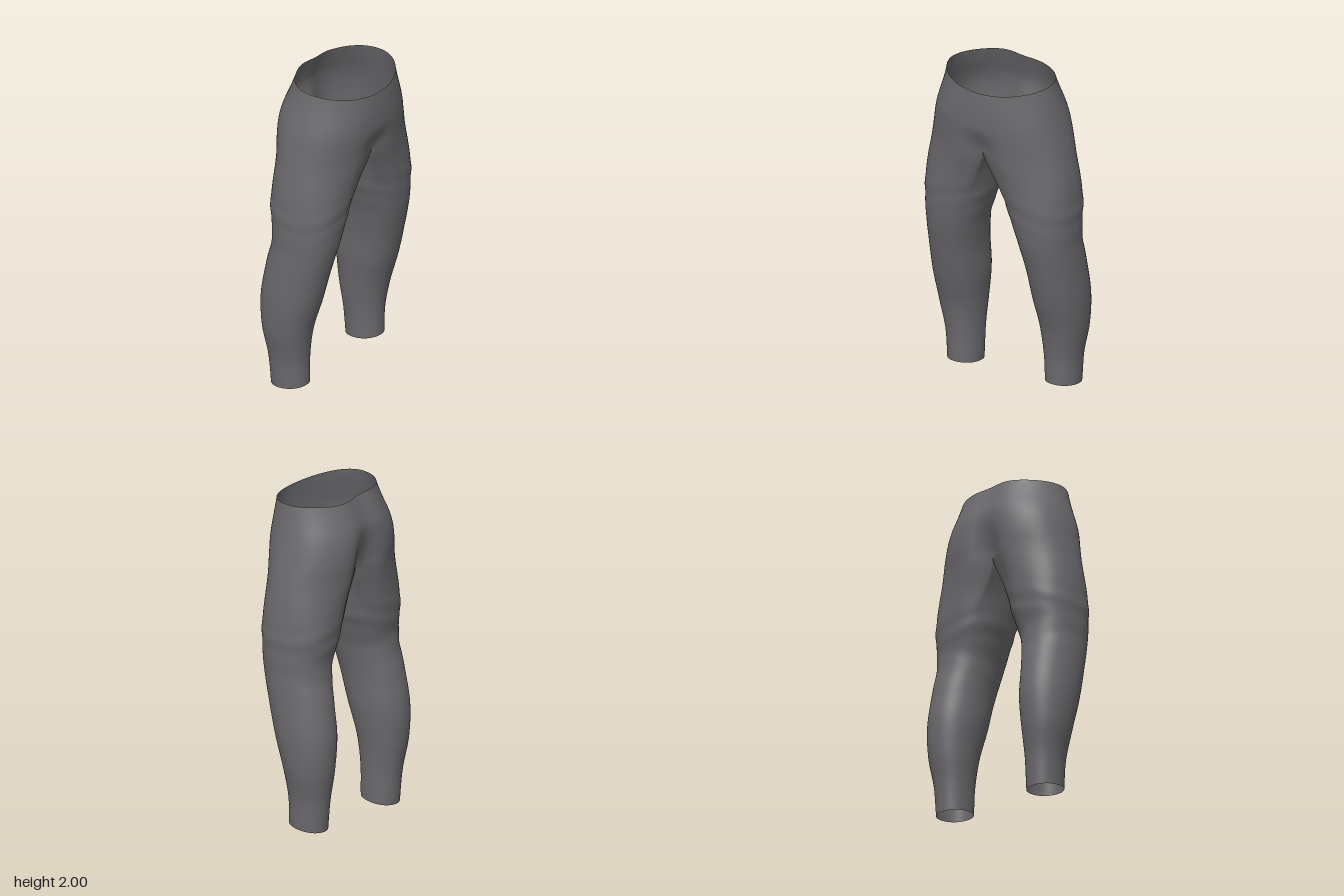
import * as THREE from 'three';
import { mergeVertices } from 'three/addons/utils/BufferGeometryUtils.js';

// Outline by height: y, inner x, outer x, back z, front z
const OUTLINE = [
  [0.0, 0.236, 0.437, -0.225, 0.008],
  [0.2, 0.228, 0.448, -0.24, 0.012],
  [0.4, 0.208, 0.482, -0.27, 0.042],
  [0.6, 0.183, 0.497, -0.277, 0.1],
  [0.8, 0.169, 0.493, -0.246, 0.15],
  [1.0, 0.134, 0.486, -0.207, 0.194],
  [1.2, 0.072, 0.485, -0.23, 0.218],
  [1.4, 0.032, 0.465, -0.255, 0.243],
  [1.48, 0.014, 0.45, -0.268, 0.256],
  [1.56, 0.0, 0.434, -0.28, 0.266],
  [1.65, 0.0, 0.413, -0.29, 0.276],
  [1.8, 0.0, 0.378, -0.282, 0.285],
  [1.9, 0.0, 0.354, -0.255, 0.283],
  [2.0, 0.0, 0.332, -0.222, 0.275],
];
const CROTCH = 1.56, OUTER = 40, INNER = 16, HIP_ROWS = 20, LEG_ROWS = 72;
const INNER_ANGLE = THREE.MathUtils.degToRad(126);
const { lerp, smoothstep } = THREE.MathUtils;

const spline = new THREE.CubicInterpolant(
  new Float32Array(OUTLINE.map((r) => r[0])),
  new Float32Array(OUTLINE.flatMap((r) => r.slice(1))),
  4,
);
const bump = (v, centre, width) => Math.exp(-Math.pow((v - centre) / width, 2));
const rounded = (v, power) => Math.sign(v) * Math.pow(Math.abs(v), power);

function section(y) {
  const [xin, xout, back, front] = spline.evaluate(y);
  return { xin: y >= CROTCH ? 0 : xin, xout, back, front };
}

// Slight difference between the two sides at the hips and the ankles
function sideShift(y, side) {
  return side > 0 ? 0.004 * (1 - smoothstep(y, 0, 0.4))
    : 0.008 * (1 - smoothstep(y, 0, 0.4)) - 0.012 * bump(y, 1.74, 0.15);
}

// Half of the hip outline, from centre front around the side to centre back
function hipPoint(y, t) {
  const { xin, xout, back, front } = section(y);
  const a = Math.PI * (0.5 - t), s = Math.sin(a);
  const power = lerp(0.84, 1, smoothstep(y, 1.7, 1.98));
  const mid = (front + back) / 2, half = (front - back) / 2;
  const x = xin + (xout - xin) * rounded(Math.max(0, Math.cos(a)), power);
  let z = mid + half * rounded(s, power);
  // Crease at the centre: shallow at the waist, deeper at the crotch
  const near = bump(x, xin, 0.09);
  if (s < 0) z += near * lerp(0.09, 0.024, smoothstep(y, CROTCH, 1.85));
  else z -= near * lerp(0.04, 0, smoothstep(y, CROTCH, 1.72));
  return [x, z];
}

// Closed leg ring: D-shaped at the crotch, turning oval down the thigh
function legPoint(y, col, side) {
  const { xin, xout, back, front } = section(y);
  const inner = col > OUTER, k = (col - OUTER) / INNER;
  const d = inner
    ? [xin, lerp(hipPoint(y, 1)[1], hipPoint(y, 0)[1], k)]
    : hipPoint(y, col / OUTER);
  const a = inner
    ? -INNER_ANGLE - k * (2 * Math.PI - 2 * INNER_ANGLE)
    : INNER_ANGLE * (1 - (2 * col) / OUTER);
  const c = Math.cos(a), s = Math.sin(a);
  const b = 1 - smoothstep(y, 1.16, CROTCH);
  // Soft slanting cloth folds: front of the thigh, back of the knee
  const thigh = 0.012 * bump(y, 1.2, 0.09) * Math.sin(y * 46 + c * 3.5);
  const knee = 0.01 * bump(y, 1.0, 0.14) * (0.5 - 0.5 * s) * Math.sin(y * 40 - c * 3);
  const fold = 1 + b * (thigh + knee);
  const power = lerp(0.95, 0.86, smoothstep(y, 0.7, 1.3));
  const ex = (xin + xout) / 2 + ((xout - xin) / 2) * rounded(c, power) * fold;
  const ez = (front + back) / 2 + ((front - back) / 2) * rounded(s, power) * fold;
  const x = lerp(d[0], ex, b), z = lerp(d[1], ez, b);
  const sag = inner ? 0.025 * (1 - b) * Math.sin(Math.PI * k) : 0;
  // Slanted hem, a little lower on one leg
  const hem = ((side > 0 ? 0.046 : 0.016) + 0.13 * (z + 0.11)) * Math.pow(1 - y / CROTCH, 6);
  return [side * x, y - sag + hem, z, sideShift(y, side)];
}

function waistHeight(x, t) {
  const s = Math.sin(Math.PI * (0.5 - t));
  const rim = s > 0 ? -0.037 * s * s : 0.006 * s * s;
  const wave = 0.008 * Math.cos(12 * (x + 0.1)) * Math.max(0, -s);
  return 1.985 + rim - 0.02 * x + wave;
}

function createTrousers() {
  const positions = [], index = [];

  function addGrid(rows, cols, point, side) {
    const start = positions.length / 3;
    for (let r = 0; r <= rows; r++)
      for (let c = 0; c <= cols; c++) {
        const [x, y, z, shift] = point(r / rows, c);
        // The centre seam stays on the middle plane
        positions.push(x + shift * smoothstep(Math.abs(x), 0, 0.2), y, z);
      }
    for (let r = 0; r < rows; r++)
      for (let c = 0; c < cols; c++) {
        const a = start + r * (cols + 1) + c, b = a + 1;
        const d = a + cols + 1, e = d + 1;
        if (side > 0) index.push(a, d, b, b, d, e);
        else index.push(a, b, d, b, e, d);
      }
  }

  for (const side of [1, -1]) {
    // Seat and waist
    addGrid(HIP_ROWS, OUTER, (u, c) => {
      const t = c / OUTER;
      const rimX = side * 0.33 * Math.sin(Math.PI * t);
      const y = lerp(waistHeight(rimX, t), CROTCH, u);
      const [x, z] = hipPoint(y, t);
      return [side * x, y, z, sideShift(y, side)];
    }, side);
    // Leg
    addGrid(LEG_ROWS, OUTER + INNER, (u, c) => legPoint(CROTCH * (1 - u), c, side), side);
  }

  const geometry = new THREE.BufferGeometry();
  geometry.setAttribute('position', new THREE.Float32BufferAttribute(positions, 3));
  geometry.setIndex(index);
  // Weld the centre seam and leg joins so the shading runs through
  const welded = mergeVertices(geometry, 1e-4);
  welded.computeVertexNormals();
  return welded;
}

export function createModel() {
  const group = new THREE.Group();
  group.name = 'trousers';
  const cloth = new THREE.MeshStandardMaterial({ color: 0x6b696c, side: THREE.DoubleSide });
  const mesh = new THREE.Mesh(createTrousers(), cloth);
  mesh.name = 'trouserCloth';
  group.add(mesh);
  return group;
}
